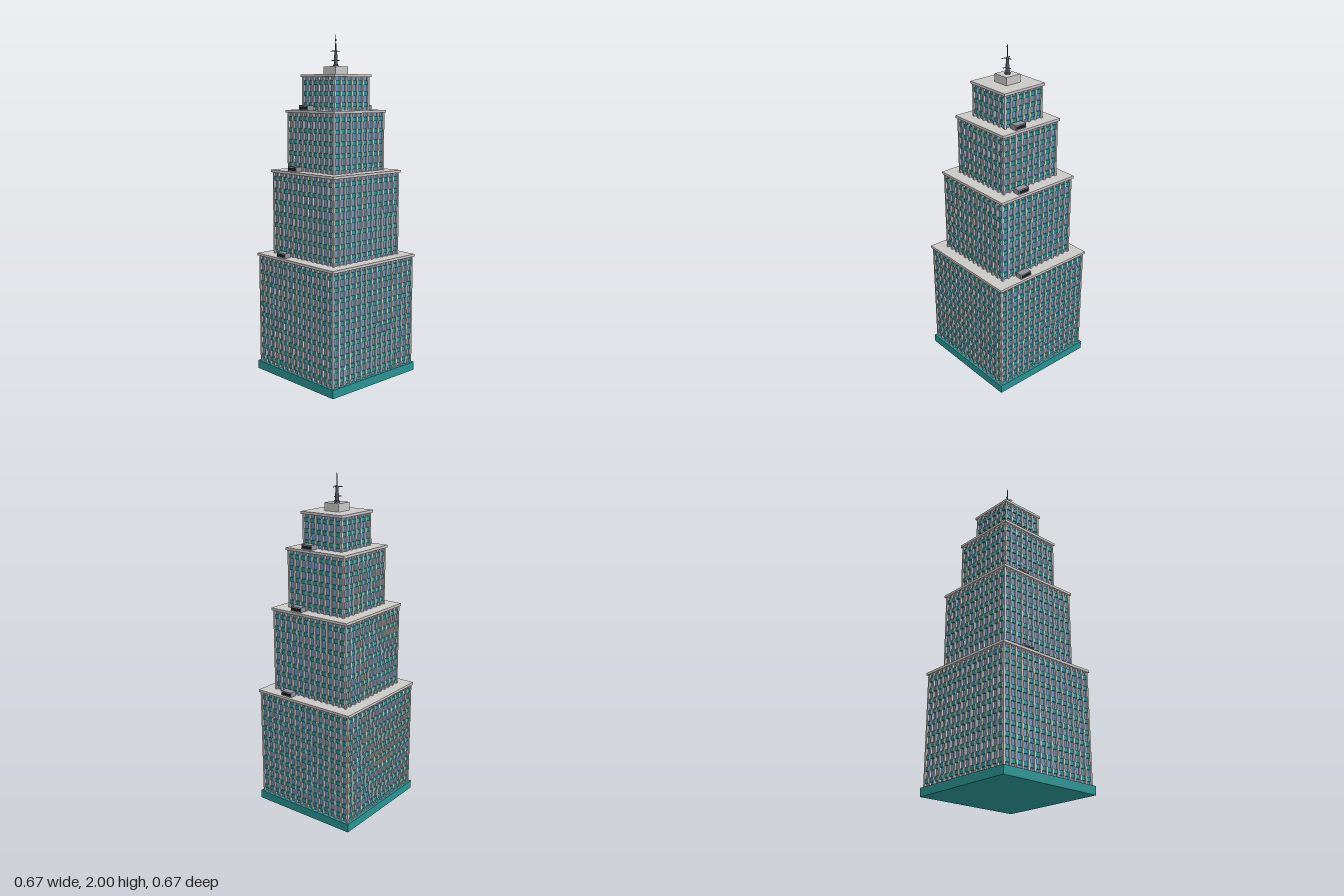
import * as THREE from 'three';
import { mergeGeometries } from 'three/addons/utils/BufferGeometryUtils.js';

const material = (name, color) => {
  const m = new THREE.MeshStandardMaterial({ color });
  m.name = name;
  return m;
};

// Box geometry from its size, with its centre at x, z and its underside at y
const box = (w, h, d, x, y, z) => new THREE.BoxGeometry(w, h, d).translate(x, y + h / 2, z);

export function createModel() {
  const teal = material('teal panel', 0x2a9494);
  const glass = material('blue glass', 0x6c95c4);
  const stone = material('pale stone', 0xc9c8c5);
  const unitGrey = material('unit grey', 0x90929c);
  const black = material('grille black', 0x1b1c20);
  const steel = material('dark steel', 0x555960);

  const tower = new THREE.Group();
  tower.name = 'tower';
  const add = (parent, name, geometry, mat) => {
    const mesh = new THREE.Mesh(geometry, mat);
    mesh.name = name;
    parent.add(mesh);
    return mesh;
  };

  add(tower, 'plinth', box(0.672, 0.05, 0.672, 0, 0, 0), teal);

  // Stepped tiers: glass core, protruding floor bands, mullions and a roof slab
  const tiers = [
    { half: 0.325, y0: 0.05, y1: 0.705, floors: 10, bays: 15, roof: 0.332 },
    { half: 0.263, y0: 0.72, y1: 1.207, floors: 7, bays: 12, roof: 0.27 },
    { half: 0.2, y0: 1.222, y1: 1.557, floors: 5, bays: 9, roof: 0.207 },
    { half: 0.138, y0: 1.572, y1: 1.76, floors: 3, bays: 6, roof: 0.145 },
  ];
  const slab = 0.015;
  const mullion = 0.012;

  tiers.forEach((t, i) => {
    const group = new THREE.Group();
    group.name = 'tier' + (i + 1);
    tower.add(group);
    const height = t.y1 - t.y0;

    const core = 2 * (t.half - 0.012);
    add(group, 'glassCore', box(core, height, core, 0, t.y0, 0), glass);

    const bands = [];
    const bandSize = 2 * (t.half - 0.004);
    const bandHeight = 0.025;
    for (let f = 0; f < t.floors; f++) {
      const centre = t.y0 + ((f + 0.5) * height) / t.floors;
      bands.push(box(bandSize, bandHeight, bandSize, 0, centre - bandHeight / 2, 0));
    }
    add(group, 'floorBands', mergeGeometries(bands), teal);

    // One corner plus the bay divisions, repeated around the four faces
    const posts = [];
    const reach = t.half - mullion / 2;
    for (let side = 0; side < 4; side++) {
      for (let b = 0; b < t.bays; b++) {
        const x = -reach + (2 * reach * b) / t.bays;
        posts.push(box(mullion, height, mullion, x, t.y0, reach).rotateY((side * Math.PI) / 2));
      }
    }
    add(group, 'mullions', mergeGeometries(posts), stone);

    add(group, 'roofSlab', box(2 * t.roof, slab, 2 * t.roof, 0, t.y1, 0), stone);
  });

  // Roof units on the setbacks, repeated by a half turn
  const unitSpots = [[0.294, 0.131], [0.231, 0.099], [0.169, 0.068]];
  unitSpots.forEach(([x, z], i) => {
    for (const turn of [0, Math.PI]) {
      const unit = new THREE.Group();
      unit.name = 'roofUnit';
      const y = tiers[i].y1 + slab;
      add(unit, 'unitCase', box(0.044, 0.028, 0.074, x, y, z), unitGrey);
      add(unit, 'unitGrille', box(0.002, 0.016, 0.064, x + 0.0225, y + 0.005, z), black);
      unit.rotation.y = turn;
      tower.add(unit);
    }
  });

  // Penthouse and mast
  add(tower, 'penthouse', box(0.1, 0.046, 0.1, 0, 1.775, 0), stone);

  const profile = [
    [0, 1.82], [0.017, 1.82], [0.017, 1.828], [0.012, 1.832], [0.008, 1.905],
    [0.004, 1.915], [0.0025, 1.965], [0.004, 1.968], [0.004, 1.975], [0.0015, 1.98], [0, 2],
  ].map(([r, y]) => new THREE.Vector2(r, y));
  const mast = new THREE.LatheGeometry(profile, 12).toNonIndexed();
  mast.computeVertexNormals();
  add(tower, 'mast', mast, steel);

  // Three aerial arms at each of two levels
  const arms = [];
  for (const [y, length] of [[1.855, 0.026], [1.908, 0.032]]) {
    for (let k = 0; k < 3; k++) {
      arms.push(box(length, 0.004, 0.004, length / 2, y - 0.002, 0).rotateY((k * 2 * Math.PI) / 3));
    }
  }
  add(tower, 'aerialArms', mergeGeometries(arms), steel);

  return tower;
}
